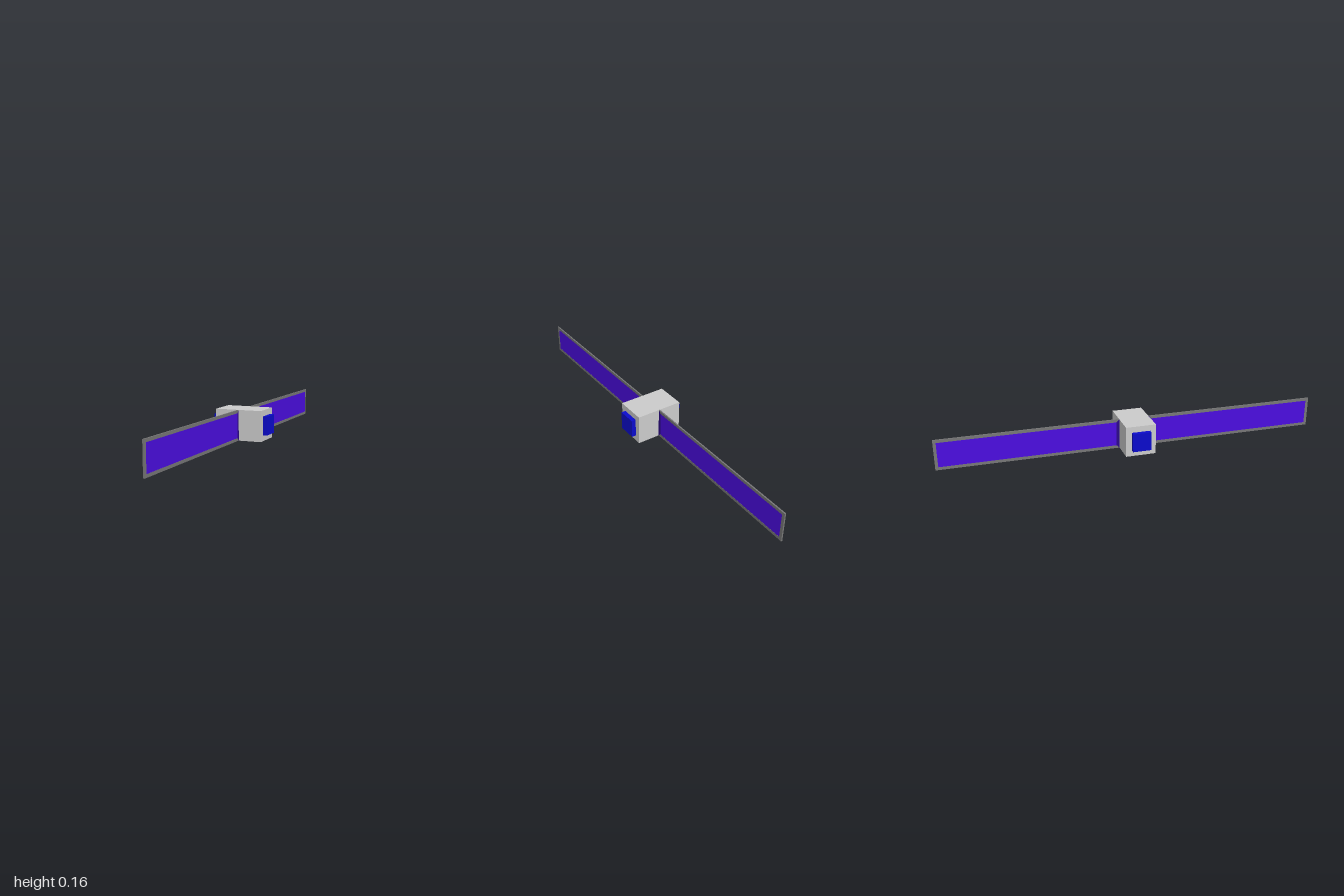
import * as THREE from 'three';

const H = 0.157, CY = H / 2;          // body height and its middle
const Z0 = 0.078, Z1 = 1, RIM = 0.015; // wing root, wing tip, frame width
const THICK = 0.007;

const material = (color) => new THREE.MeshStandardMaterial({ color, flatShading: true });
const grey = material(0xcccccc);
const frameGrey = material(0x777777);
const cellPurple = material(0x4b0de0);
const rootPurple = material(0x2c0888);
const podBlue = material(0x0b0bcc);

function box(name, w, h, d, mat, x, y, z) {
  const mesh = new THREE.Mesh(new THREE.BoxGeometry(w, h, d), mat);
  mesh.name = name;
  mesh.position.set(x, y, z);
  return mesh;
}

// Flat plate lying in the z-y plane, outlined by [z, y] points
function plate(name, points, thickness, mat) {
  const shape = new THREE.Shape(points.map(([z, y]) => new THREE.Vector2(z, y)));
  const geo = new THREE.ExtrudeGeometry(shape, { depth: thickness, bevelEnabled: false });
  geo.translate(0, 0, -thickness / 2).rotateY(-Math.PI / 2);
  const mesh = new THREE.Mesh(geo, mat);
  mesh.name = name;
  return mesh;
}

// One solar wing: three-sided mitred frame, root trim and cell panel
function createWing(name) {
  const wing = new THREE.Group();
  wing.name = name;
  const a = Z0 + RIM, b = Z1 - RIM, lo = RIM, hi = H - RIM;
  wing.add(
    plate('wingFrame', [[Z0, 0], [Z1, 0], [Z1, H], [Z0, H], [a, hi], [b, hi], [b, lo], [a, lo]], THICK, frameGrey),
    plate('wingRootTrim', [[Z0, 0], [a, lo], [a, hi], [Z0, H]], THICK, rootPurple),
    box('solarPanel', THICK - 0.001, hi - lo, b - a, cellPurple, 0, CY, (a + b) / 2),
  );
  return wing;
}

export function createModel() {
  const model = new THREE.Group();
  model.name = 'wingedSatellite';
  model.add(box('body', 0.246, H, Z0 * 2, grey, 0, CY, 0));

  // Blue end pods on both sides
  for (const side of [1, -1]) {
    model.add(box(side > 0 ? 'leftPod' : 'rightPod', 0.023, 0.096, 0.096, podBlue, side * 0.1345, CY, 0));
  }

  // Wings to front and back
  const backWing = createWing('backWing');
  backWing.rotation.y = Math.PI;
  model.add(createWing('frontWing'), backWing);
  return model;
}
